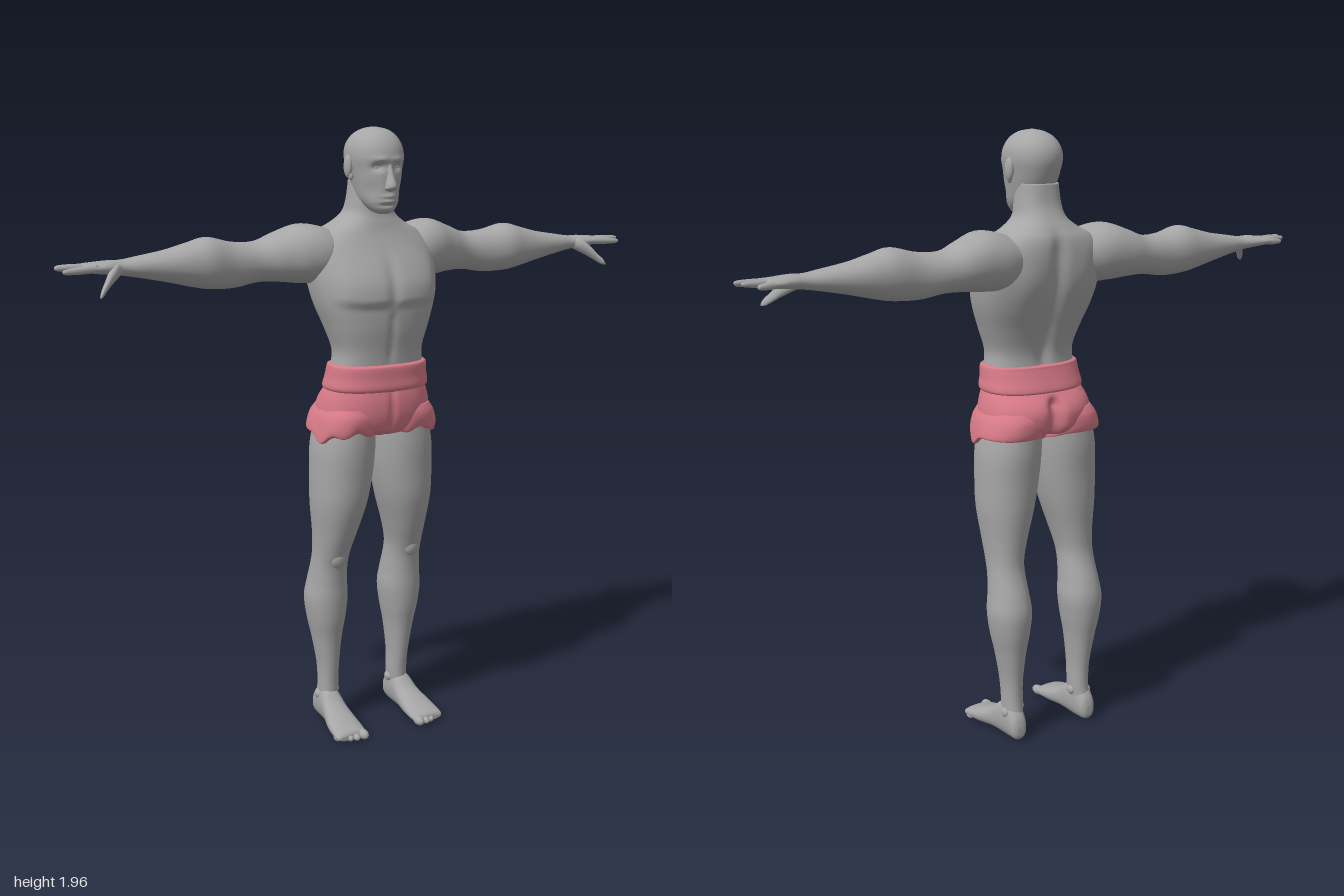
import * as THREE from 'three';

const skin = new THREE.MeshStandardMaterial({ color: 0xa6a6a6 });
skin.name = 'grey skin';
const cloth = new THREE.MeshStandardMaterial({ color: 0xd67a87 });
cloth.name = 'pink cloth';

const bump = (a, w) => Math.exp(-(a / w) * (a / w));
const step = THREE.MathUtils.smoothstep;

// smooth interpolation through a column of the section rows
function spline(rows, k, i, f) {
  const at = (j) => rows[Math.min(Math.max(j, 0), rows.length - 1)][k];
  const a = at(i - 1), b = at(i), c = at(i + 1), d = at(i + 2);
  return b + 0.5 * f * (c - a + f * (2 * a - 5 * b + 4 * c - d + f * (3 * (b - c) + d - a)));
}

// Loft through rows [t, uMin, uMax, vMin, vMax] running along an axis.
// x: u = y, v = z    y: u = x, v = z    z: u = x, v = y
function loft(rows, { axis = 'y', n = 2, segs = 40, steps = 6, warp = null, mirror = false } = {}) {
  const pos = [], idx = [], p = new THREE.Vector3();
  const put = (t, u, v) => {
    if (axis === 'x') p.set(t, u, v);
    else if (axis === 'y') p.set(u, t, v);
    else p.set(u, v, t);
    if (warp) warp(p);
    pos.push(mirror ? -p.x : p.x, p.y, p.z);
  };
  const flip = (axis === 'y') !== mirror;
  const tri = (a, b, c) => (flip ? idx.push(a, c, b) : idx.push(a, b, c));
  const rings = (rows.length - 1) * steps + 1;
  const ends = [];
  for (let r = 0; r < rings; r++) {
    const i = Math.min(Math.floor(r / steps), rows.length - 2), f = r / steps - i;
    const [t, u0, u1, v0, v1] = [0, 1, 2, 3, 4].map((k) => spline(rows, k, i, f));
    if (r === 0 || r === rings - 1) ends.push([t, (u0 + u1) / 2, (v0 + v1) / 2]);
    for (let s = 0; s < segs; s++) {
      const a = (s / segs) * Math.PI * 2, c = Math.cos(a), d = Math.sin(a);
      const q = Math.pow(Math.abs(c) ** n + Math.abs(d) ** n, -1 / n);
      put(t, (u0 + u1) / 2 + ((u1 - u0) / 2) * c * q, (v0 + v1) / 2 + ((v1 - v0) / 2) * d * q);
    }
  }
  ends.forEach((e) => put(...e));
  const first = rings * segs, last = (rings - 1) * segs;
  for (let s = 0; s < segs; s++) {
    const s2 = (s + 1) % segs;
    for (let r = 0; r < rings - 1; r++) {
      const a = r * segs + s, b = r * segs + s2;
      tri(a, b, a + segs);
      tri(b, b + segs, a + segs);
    }
    tri(first, s2, s);
    tri(first + 1, last + s, last + s2);
  }
  const g = new THREE.BufferGeometry();
  g.setAttribute('position', new THREE.Float32BufferAttribute(pos, 3));
  g.setIndex(idx);
  g.computeVertexNormals();
  return g;
}

// rows [y, halfWidth, zMin, zMax] symmetric about x = 0
const centred = (rows) => rows.map(([y, w, a, b]) => [y, -w, w, a, b]);

export function createModel() {
  const model = new THREE.Group();
  const add = (name, geo, mat = skin) => {
    const m = new THREE.Mesh(geo, mat);
    m.name = name;
    model.add(m);
    return m;
  };
  const pair = (name, rows, opt, mat) => {
    add('left' + name, loft(rows, opt), mat);
    add('right' + name, loft(rows, { ...opt, mirror: true }), mat);
  };
  const pairBall = (name, [x, y, z], [a, b, c]) => {
    for (const s of [1, -1]) {
      const m = add((s > 0 ? 'left' : 'right') + name, new THREE.SphereGeometry(1, 20, 14));
      m.position.set(s * x, y, z);
      m.scale.set(a, b, c);
    }
  };

  // torso and neck, with chest, belly and spine modelling
  add('torso', loft(centred([
    [1.1, .15, -.1, .12], [1.16, .155, -.08, .12], [1.22, .153, -.068, .12], [1.28, .148, -.068, .125],
    [1.35, .17, -.09, .136], [1.42, .195, -.12, .14], [1.48, .208, -.14, .134], [1.54, .213, -.15, .113],
    [1.6, .205, -.152, .085], [1.64, .17, -.145, .066], [1.67, .115, -.128, .056], [1.7, .08, -.108, .048],
    [1.74, .07, -.09, .045], [1.8, .064, -.08, .04],
  ]), {
    n: 2.5, segs: 128, steps: 8, warp: (p) => {
      const ax = Math.abs(p.x);
      if (p.z < 0) {
        const span = step(p.y, 1.18, 1.3) * (1 - step(p.y, 1.58, 1.7));
        p.z += span * (.016 * bump(p.x, .025) - .008 * bump(ax - .1, .05) * bump(p.y - 1.52, .08));
      } else {
        const line = 1.425 + .5 * Math.max(0, ax - .1) ** 1.5;
        const pec = step(p.y, line - .015, line + .02) * (1 - step(p.y, 1.48, 1.62));
        p.z += .013 * pec * (1 - step(ax, .14, .2)) * (1 - .7 * bump(p.x, .02));
        p.z -= .005 * bump(p.x, .014) * step(p.y, 1.22, 1.28) * (1 - step(p.y, 1.38, 1.42));
      }
    },
  }));

  // head with eye sockets, brow, lips and chin
  add('head', loft(centred([
    [1.7, .015, .05, .085], [1.708, .032, .02, .1], [1.725, .048, -.01, .108], [1.75, .061, -.045, .11],
    [1.79, .07, -.072, .112], [1.83, .078, -.09, .112], [1.87, .085, -.1, .115], [1.905, .081, -.094, .106],
    [1.935, .063, -.071, .084], [1.953, .036, -.036, .052], [1.96, .005, -.002, .012],
  ]), {
    n: 2.15, segs: 96, steps: 9, warp: (p) => {
      if (p.z < .03) return;
      const ax = Math.abs(p.x);
      p.z -= .015 * bump(ax - .033, .017) * bump(p.y - 1.842, .012);
      p.z += .005 * bump(ax - .03, .025) * bump(p.y - 1.864, .009);
      p.z += .007 * bump(p.x, .022) * (bump(p.y - 1.754, .006) + bump(p.y - 1.739, .006));
      p.z -= .005 * bump(p.x, .03) * bump(p.y - 1.727, .006);
      p.z -= .006 * bump(ax - .05, .016) * bump(p.y - 1.77, .025);
    },
  }));
  add('nose', loft(centred([
    [1.768, .007, .09, .115], [1.776, .018, .09, .134], [1.787, .017, .09, .141],
    [1.815, .011, .09, .129], [1.845, .009, .09, .116], [1.865, .009, .09, .111],
  ]), { segs: 24 }));
  pairBall('Eye', [.033, 1.841, .079], [.015, .011, .014]);
  pairBall('Ear', [.086, 1.842, .002], [.012, .035, .019]);
  pairBall('EarLobe', [.081, 1.813, .01], [.008, .013, .01]);

  // shoulder, arm and palm
  pair('Arm', [
    [.08, 1.53, 1.63, -.12, .02], [.16, 1.49, 1.66, -.15, .055], [.23, 1.488, 1.67, -.156, .05],
    [.3, 1.495, 1.648, -.154, .022], [.37, 1.497, 1.622, -.142, .0], [.45, 1.485, 1.624, -.134, .003],
    [.53, 1.487, 1.642, -.135, .016], [.59, 1.498, 1.629, -.13, .01], [.66, 1.515, 1.611, -.12, 0],
    [.74, 1.532, 1.598, -.105, -.012], [.8, 1.543, 1.589, -.095, -.022], [.84, 1.548, 1.589, -.1, -.012],
    [.88, 1.553, 1.586, -.108, -.01], [.91, 1.558, 1.583, -.106, -.014], [.922, 1.566, 1.577, -.09, -.03],
  ], { axis: 'x', n: 2.15, segs: 48 });

  // fingers fan out from the palm: [zRoot, zTip, yTip, xTip]
  [[-.022, -.012, 1.566, .985], [-.046, -.042, 1.575, 1], [-.07, -.072, 1.574, .99], [-.094, -.1, 1.566, .955]]
    .forEach(([z0, z1, y1, x1], i) => {
      const rows = [[0, .011], [.3, .011], [.6, .0105], [.88, .008], [.97, .005], [1, .001]].map(([f, r]) => {
        const y = 1.57 + (y1 - 1.57) * f, z = z0 + (z1 - z0) * f;
        return [.88 + (x1 - .88) * f, y - r, y + r, z - r, z + r];
      });
      pair('Finger' + (i + 1), rows, { axis: 'x', segs: 16, steps: 4 });
    });
  pair('Thumb', [
    [.8, 1.55, 1.58, -.06, -.03], [.825, 1.536, 1.58, -.05, -.004], [.85, 1.52, 1.56, -.026, .014],
    [.87, 1.505, 1.533, -.004, .027], [.884, 1.494, 1.516, .014, .038], [.893, 1.492, 1.5, .03, .04],
  ], { axis: 'x', segs: 20 });

  // legs, kneecaps, feet and toes
  pair('Leg', [
    [.05, .105, .168, -.125, -.03], [.12, .1, .165, -.115, -.03], [.2, .1, .168, -.117, -.022],
    [.3, .09, .185, -.131, -.01], [.37, .078, .2, -.144, .003], [.44, .07, .208, -.149, .01],
    [.5, .075, .201, -.136, .012], [.56, .079, .195, -.116, .019], [.61, .077, .193, -.107, .036],
    [.68, .06, .197, -.109, .062], [.78, .031, .207, -.118, .09], [.88, .012, .208, -.122, .1],
    [.97, .004, .204, -.127, .105], [1.06, .003, .185, -.12, .1],
  ], { n: 2.15, segs: 56 });
  pairBall('Kneecap', [.137, .595, .008], [.03, .038, .027]);
  pairBall('InnerAnkle', [.104, .1, -.075], [.012, .016, .018]);
  pairBall('OuterAnkle', [.164, .09, -.08], [.012, .016, .018]);
  pair('Foot', [
    [-.136, .125, .15, .02, .05], [-.125, .111, .164, .004, .085], [-.09, .103, .17, 0, .12],
    [-.04, .1, .175, 0, .115], [0, .096, .183, .003, .084], [.05, .091, .195, 0, .06],
    [.1, .09, .2, 0, .042], [.125, .094, .198, .002, .032], [.132, .105, .19, .008, .022],
  ], { axis: 'z', n: 2.3, segs: 36 });
  [[.106, .13, .016], [.132, .13, .012], [.153, .124, .0115], [.172, .115, .011], [.189, .104, .0105]]
    .forEach(([x, z, r], i) => pairBall('Toe' + (i + 1), [x, r, z], [r, r, r * 1.6]));

  // shorts: waistband, seat panel and two leg cuffs
  add('waistband', loft(centred([
    [1.152, .162, -.1, .128], [1.158, .17, -.107, .137], [1.17, .172, -.105, .14], [1.195, .167, -.095, .138],
    [1.225, .164, -.084, .138], [1.235, .161, -.081, .135], [1.238, .154, -.074, .127],
  ]), { n: 2.4, segs: 80 }), cloth);
  add('shortsPanel', loft(centred([
    [1.0, .03, -.06, .06], [1.015, .11, -.11, .108], [1.04, .172, -.134, .125], [1.07, .186, -.142, .134],
    [1.1, .184, -.141, .137], [1.13, .176, -.126, .136], [1.158, .165, -.1, .131],
  ]), {
    n: 2.4, segs: 128, steps: 8, warp: (p) => {
      const low = 1 - step(p.y, 1.11, 1.155);
      if (p.z < -.03) p.z += low * (.035 * bump(p.x, .022) - .004 * bump(Math.abs(p.x) - .085, .05));
      else if (p.z > .05) p.z -= .007 * bump(p.x, .01);
    },
  }), cloth);
  pair('ShortsCuff', [
    [1.018, .006, .203, -.127, .108], [1.022, -.001, .212, -.136, .118], [1.045, -.001, .208, -.141, .126],
    [1.075, .002, .196, -.139, .128], [1.1, .01, .178, -.125, .12],
  ], {
    n: 2.3, segs: 80, warp: (p) => {
      const low = 1 - step(p.y, 1.02, 1.08);
      p.y -= low * (.03 * bump(p.z - .035, .03) * step(p.x, .14, .19) + .02 * bump(p.x, .035));
      p.y += low * .008 * Math.sin(p.x * 70) * step(p.z, .05, .1);
    },
  }, cloth);

  return model;
}
